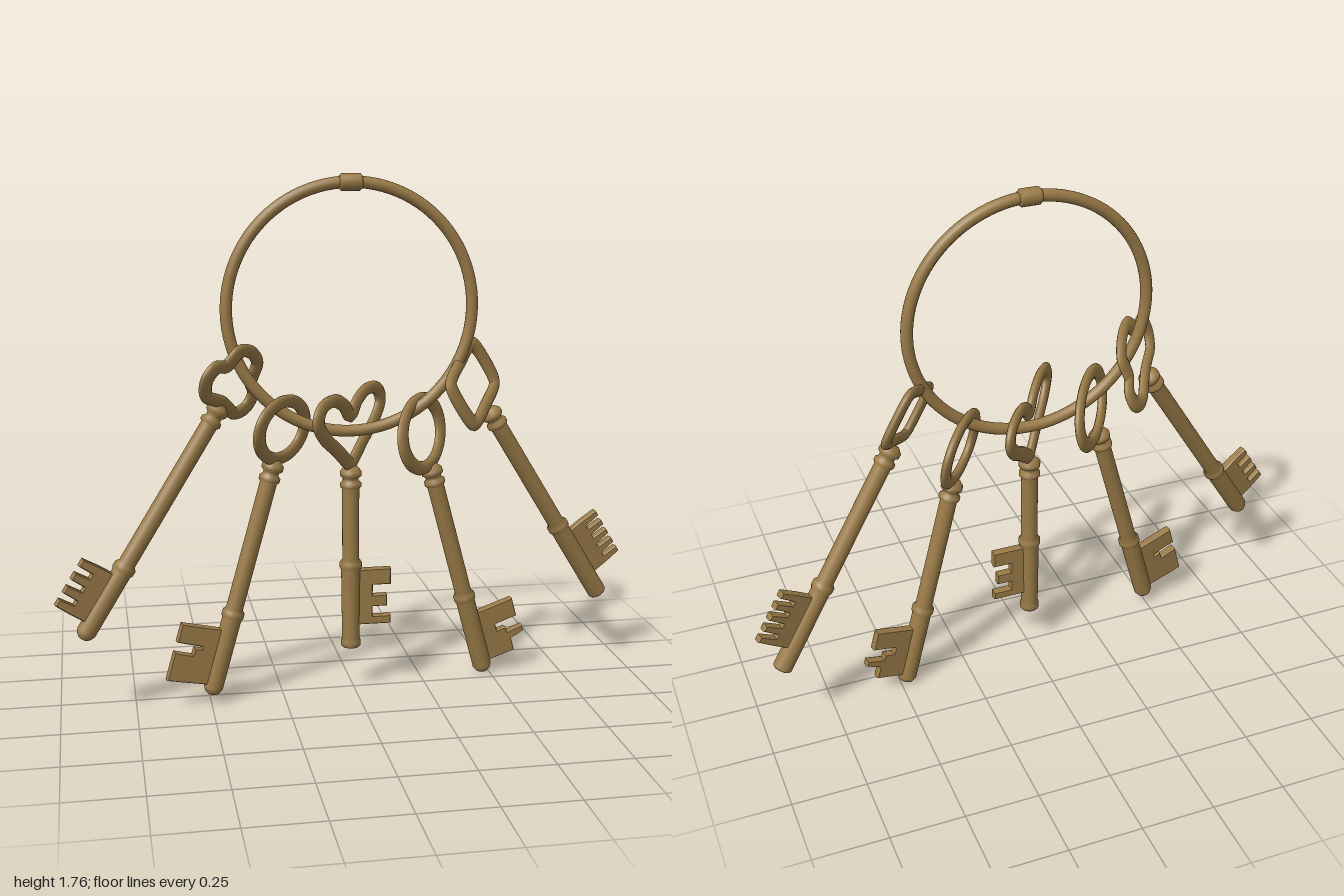
import * as THREE from 'three';

const V2 = (x, y) => new THREE.Vector2(x, y);

// Mirrors the right half of an outline to make a closed loop (points on the axis stay single)
function mirrored(half) {
  const left = half.filter(([x]) => x > 0).reverse().map(([x, y]) => [-x, y]);
  return [...half, ...left];
}

function ellipse(w, h) {
  return Array.from({ length: 16 }, (_, i) => {
    const a = -Math.PI / 2 + (i / 16) * Math.PI * 2;
    return [w * Math.cos(a), h + h * Math.sin(a)];
  });
}

// Bow outlines (centre lines), with the collar at the origin
const BOWS = {
  heart: mirrored([[0, 0.0], [0.02, 0.012], [0.1, 0.07], [0.19, 0.13], [0.23, 0.185], [0.2, 0.23],
    [0.12, 0.24], [0.05, 0.212], [0, 0.168]]),
  trefoil: mirrored([[0, 0.005], [0.05, 0.0], [0.11, -0.005], [0.16, 0.035], [0.15, 0.09], [0.1, 0.11],
    [0.088, 0.135], [0.068, 0.178], [0, 0.195]]),
  square: mirrored([[0, 0.015], [0.09, 0.015], [0.125, 0.022], [0.138, 0.045], [0.138, 0.165],
    [0.125, 0.19], [0.09, 0.197], [0, 0.197]]),
  oval: ellipse(0.153, 0.1),
  roundOval: ellipse(0.15, 0.112),
};

// Bit outlines: u runs out from the shaft, v runs up from the tip
function comb(v0, v1, teeth, root, reach) {
  const pts = [[0, v0]];
  const step = (v1 - v0) / (teeth - 0.45);
  for (let i = 0; i < teeth; i++) {
    const a = v0 + i * step, b = a + step * 0.55;
    pts.push([root, a], [reach, a + 0.003], [reach, b - 0.003], [root, b]);
  }
  pts.push([0, v1]);
  return pts;
}
const BITS = {
  combFour: comb(0.06, 0.235, 4, 0.085, 0.138),
  combFive: comb(0.085, 0.275, 5, 0.085, 0.144),
  split: [[0, 0.04], [0.165, 0.03], [0.165, 0.125], [0.1, 0.125], [0.1, 0.15], [0.075, 0.15],
    [0.075, 0.165], [0.165, 0.165], [0.165, 0.225], [0, 0.23]],
  ward: [[0, 0.04], [0.125, 0.04], [0.125, 0.085], [0.178, 0.095], [0.178, 0.112], [0.115, 0.11],
    [0.115, 0.13], [0.08, 0.13], [0.08, 0.16], [0.165, 0.16], [0.165, 0.225], [0, 0.225]],
  three: [[0, 0.082], [0.135, 0.082], [0.135, 0.106], [0.072, 0.106], [0.072, 0.145], [0.122, 0.145],
    [0.122, 0.18], [0.072, 0.18], [0.072, 0.222], [0.135, 0.222], [0.135, 0.274], [0, 0.274]],
};

// Turned shaft with a collar above the bit and two rings under the bow
function shaftGeometry(L, collar, end) {
  const r = 0.033, t = 0.029;
  const tip = {
    round: [[0, 0], [0.014, 0.003], [0.025, 0.011], [r, 0.028]],
    flat: [[0, 0], [r - 0.003, 0], [r, 0.004]],
    foot: [[0, 0], [0.029, 0], [0.034, 0.006], [0.034, 0.022], [r - 0.003, 0.03]],
  }[end];
  const p = [...tip, [r, collar - 0.02], [0.038, collar - 0.01], [0.038, collar + 0.006], [t, collar + 0.018],
    [t, L - 0.07], [0.036, L - 0.062], [0.036, L - 0.05], [0.027, L - 0.042], [0.027, L - 0.032],
    [0.037, L - 0.024], [0.037, L - 0.01], [0.024, L + 0.006], [0, L + 0.012]];
  return new THREE.LatheGeometry(p.map(([x, y]) => V2(x, y)), 24);
}

// Flat band, broader at its sides than at its top and bottom
function bowGeometry(points) {
  const broad = 1.5;
  const path = new THREE.CatmullRomCurve3(
    points.map(([x, y]) => new THREE.Vector3(x / broad, y, 0)), true, 'centripetal');
  return new THREE.TubeGeometry(path, 96, 0.022, 12, true).scale(broad, 1, 0.68);
}

function bitGeometry(points, side) {
  const shape = new THREE.Shape(points.map(([u, v]) => V2(u * side, v)));
  return new THREE.ExtrudeGeometry(shape, {
    depth: 0.02, bevelEnabled: true, bevelThickness: 0.005, bevelSize: 0.003, bevelSegments: 1,
  }).translate(0, 0, -0.01);
}

export function createModel() {
  const model = new THREE.Group();
  model.name = 'keyRing';
  const brass = new THREE.MeshStandardMaterial({ color: 0x997a47 });
  brass.name = 'agedBrass';
  const add = (parent, name, geometry) => {
    const mesh = new THREE.Mesh(geometry, brass);
    mesh.name = name;
    parent.add(mesh);
    return mesh;
  };

  // Large hoop and the clasp at its top
  add(model, 'hoop', new THREE.TorusGeometry(0.412, 0.02, 16, 96)).position.set(-0.01, 1.322, 0);
  const clasp = add(model, 'clasp', new THREE.LatheGeometry(
    [[0, -0.038], [0.022, -0.038], [0.029, -0.03], [0.029, 0.03], [0.022, 0.038], [0, 0.038]].map(([x, y]) => V2(x, y)), 20));
  clasp.position.set(-0.01, 1.733, 0);
  clasp.rotation.z = Math.PI / 2;

  // Fan of keys: each tip position, sideways tilt and turn about the vertical
  const keys = [
    { name: 'trefoilKey', at: [-0.922, 0.275, 0.127], tilt: -0.582, turn: 0.22, length: 0.88, collar: 0.27, end: 'round', bow: 'trefoil', bit: 'combFour', side: -1 },
    { name: 'leftOvalKey', at: [-0.5, 0.03, 0.063], tilt: -0.285, turn: 0.18, length: 0.82, collar: 0.29, end: 'round', bow: 'oval', bit: 'split', side: -1 },
    { name: 'heartKey', at: [-0.01, 0.15, 0], tilt: 0, turn: 0, length: 0.63, collar: 0.295, end: 'foot', bow: 'heart', bit: 'three', side: 1 },
    { name: 'rightOvalKey', at: [0.482, 0.003, -0.06], tilt: 0.272, turn: 0.18, length: 0.795, collar: 0.3, end: 'round', bow: 'roundOval', bit: 'ward', side: 1 },
    { name: 'squareKey', at: [0.922, 0.25, -0.13], tilt: 0.573, turn: 0.22, length: 0.84, collar: 0.32, end: 'flat', bow: 'square', bit: 'combFive', side: 1 },
  ];
  for (const k of keys) {
    const key = new THREE.Group();
    key.name = k.name;
    key.position.set(...k.at);
    key.rotation.set(0, k.turn, k.tilt);
    model.add(key);
    add(key, 'shaft', shaftGeometry(k.length, k.collar, k.end));
    add(key, 'bit', bitGeometry(BITS[k.bit], k.side));
    // The bow is twisted about the shaft so it threads the hoop
    const bow = add(key, 'bow', bowGeometry(BOWS[k.bow]));
    bow.position.y = k.length + 0.012;
    bow.rotation.y = 0.93 - k.turn;
  }
  return model;
}
